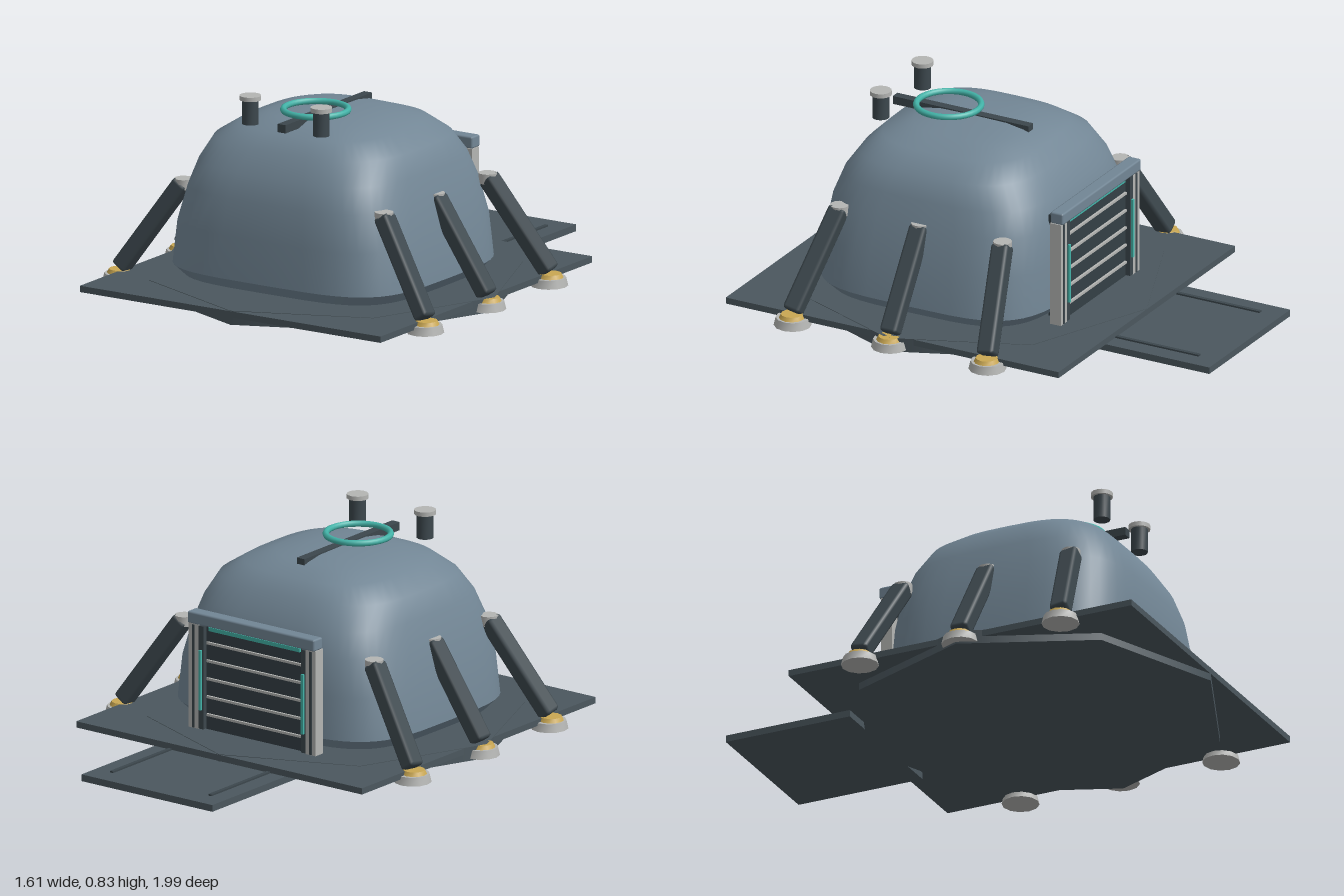
import * as THREE from 'three';
import { toCreasedNormals } from 'three/addons/utils/BufferGeometryUtils.js';
import { RoundedBoxGeometry } from 'three/addons/geometries/RoundedBoxGeometry.js';

const mat = (name, color) => Object.assign(new THREE.MeshStandardMaterial({ color }), { name });
const MID_Z = 0.24;

// Dome sections: height, half width, half depth, squareness
const SECTIONS = [
  [0.08, 0.52, 0.48, 4], [0.125, 0.56, 0.52, 4], [0.3, 0.54, 0.51, 4], [0.45, 0.495, 0.49, 4],
  [0.55, 0.465, 0.455, 3.8], [0.64, 0.425, 0.395, 3.5], [0.7, 0.335, 0.335, 3.2],
  [0.735, 0.23, 0.23, 2.8], [0.748, 0.12, 0.15, 2.4],
];

function domeGeometry(sides = 48) {
  const pos = [], index = [];
  const signedPow = (v, p) => Math.sign(v) * Math.abs(v) ** p;
  for (const [y, hx, hz, n] of SECTIONS) {
    for (let i = 0; i < sides; i++) {
      const a = (i / sides) * Math.PI * 2;
      pos.push(hx * signedPow(Math.cos(a), 2 / n), y, hz * signedPow(Math.sin(a), 2 / n));
    }
  }
  const last = SECTIONS.length - 1;
  const bottom = sides * SECTIONS.length, top = bottom + 1;
  pos.push(0, SECTIONS[0][0], 0, 0, 0.75, 0);
  for (let i = 0; i < sides; i++) {
    const j = (i + 1) % sides;
    for (let r = 0; r < last; r++) {
      const a = r * sides + i, b = r * sides + j;
      index.push(a, a + sides, b, b, a + sides, b + sides);
    }
    index.push(bottom, i, j, top, last * sides + j, last * sides + i);
  }
  const g = new THREE.BufferGeometry();
  g.setAttribute('position', new THREE.Float32BufferAttribute(pos, 3));
  g.setIndex(index);
  return toCreasedNormals(g, 0.75);
}

export function createModel() {
  const model = new THREE.Group();
  model.name = 'domeShelter';
  const shell = mat('shellBlueGrey', 0x728695);
  const deck = mat('deckGrey', 0x4b575e);
  const strutMat = mat('strutDark', 0x3c474d);
  const pale = mat('paleMetal', 0xb4b5b3);
  const gold = mat('gold', 0xc9a752);
  const teal = mat('teal', 0x43b3a8);
  const panel = mat('doorDark', 0x343f45);

  const add = (name, geo, material, x, y, z, parent = model) => {
    const m = new THREE.Mesh(geo, material);
    m.name = name;
    m.position.set(x, y, z);
    parent.add(m);
    return m;
  };
  // Box from its limits
  const box = (name, material, x0, x1, y0, y1, z0, z1, parent) =>
    add(name, new THREE.BoxGeometry(x1 - x0, y1 - y0, z1 - z0), material,
      (x0 + x1) / 2, (y0 + y1) / 2, (z0 + z1) / 2, parent);
  const cyl = (name, material, r0, r1, h, sides, x, y, z, parent) => {
    const g = toCreasedNormals(new THREE.CylinderGeometry(r0, r1, h, sides), 0.6);
    return add(name, g, material, x, y, z, parent);
  };

  // Base: square deck over an octagonal foundation
  box('deckPlate', deck, -0.72, 0.72, 0.04, 0.066, -0.53, 0.99);
  add('foundation', new THREE.CylinderGeometry(0.76, 0.76, 0.058, 8).toNonIndexed(), deck, 0, 0.039, 0.23);

  // Rear ramp with guide rails
  box('ramp', deck, -0.33, 0.33, 0.01, 0.038, -1, -0.45);
  for (const s of [-1, 1]) {
    box('rampRail', strutMat, s * 0.248 - 0.008, s * 0.248 + 0.008, 0.036, 0.045, -0.91, -0.5);
  }

  // Shell
  add('dome', domeGeometry(), shell, 0, 0, 0.25);

  // Struts with feet on both sides
  const up = new THREE.Vector3(0, 1, 0);
  for (const s of [-1, 1]) {
    for (const [footZ, topZ] of [[-0.21, -0.14], [0.235, 0.235], [0.68, 0.605]]) {
      const leg = new THREE.Group();
      leg.name = 'supportLeg';
      model.add(leg);
      const a = new THREE.Vector3(s * 0.73, 0.075, footZ);
      const b = new THREE.Vector3(s * 0.48, 0.445, topZ);
      const dir = b.clone().sub(a);
      const c = a.clone().add(b).multiplyScalar(0.5);
      const strut = add('strut', new RoundedBoxGeometry(0.068, dir.length(), 0.076, 1, 0.014),
        strutMat, c.x, c.y, c.z, leg);
      strut.quaternion.setFromUnitVectors(up, dir.normalize());
      cyl('strutCap', pale, 0.038, 0.036, 0.042, 12, b.x, 0.44, b.z, leg);
      cyl('footPad', pale, 0.068, 0.076, 0.034, 12, s * 0.728, 0.035, footZ, leg);
      cyl('footCollar', gold, 0.044, 0.052, 0.016, 12, s * 0.735, 0.06, footZ, leg);
    }
  }

  // Roof spine, ring and vents
  box('roofSpine', strutMat, -0.019, 0.019, 0.72, 0.754, 0, 0.62);
  const ring = add('roofRing', new THREE.TorusGeometry(0.13, 0.013, 8, 36), teal, 0, 0.764, 0.375);
  ring.rotation.x = -Math.PI / 2;
  for (const s of [-1, 1]) {
    cyl('ventPipe', strutMat, 0.034, 0.034, 0.1, 16, s * 0.17, 0.777, 0.59);
    cyl('ventCap', pale, 0.044, 0.044, 0.018, 16, s * 0.17, 0.835, 0.59);
  }

  // Rear door: frame, panel, slats and light strips
  const door = new THREE.Group();
  door.name = 'rearDoor';
  model.add(door);
  add('lintel', new RoundedBoxGeometry(0.64, 0.05, 0.058, 1, 0.008), shell, 0, 0.53, -0.297, door);
  box('doorPanel', panel, -0.25, 0.25, 0.066, 0.505, -0.295, -0.22, door);
  for (const s of [-1, 1]) {
    box('doorPost', pale, s * 0.295 - 0.025, s * 0.295 + 0.025, 0.066, 0.506, -0.316, -0.268, door);
    box('postGroove', strutMat, s * 0.295 - 0.006, s * 0.295 + 0.006, 0.07, 0.5, -0.319, -0.315, door);
    box('sideLight', teal, s * 0.258 - 0.006, s * 0.258 + 0.006, 0.15, 0.4, -0.325, -0.316, door);
    box('sideLightMount', strutMat, s * 0.258 - 0.012, s * 0.258 + 0.012, 0.07, 0.5, -0.316, -0.28, door);
  }
  box('topLight', teal, -0.23, 0.23, 0.482, 0.498, -0.304, -0.295, door);
  for (let i = 0; i < 5; i++) {
    const y = 0.13 + i * 0.075;
    box('doorSlat', pale, -0.24, 0.24, y - 0.005, y + 0.005, -0.304, -0.295, door);
  }
  return model;
}
